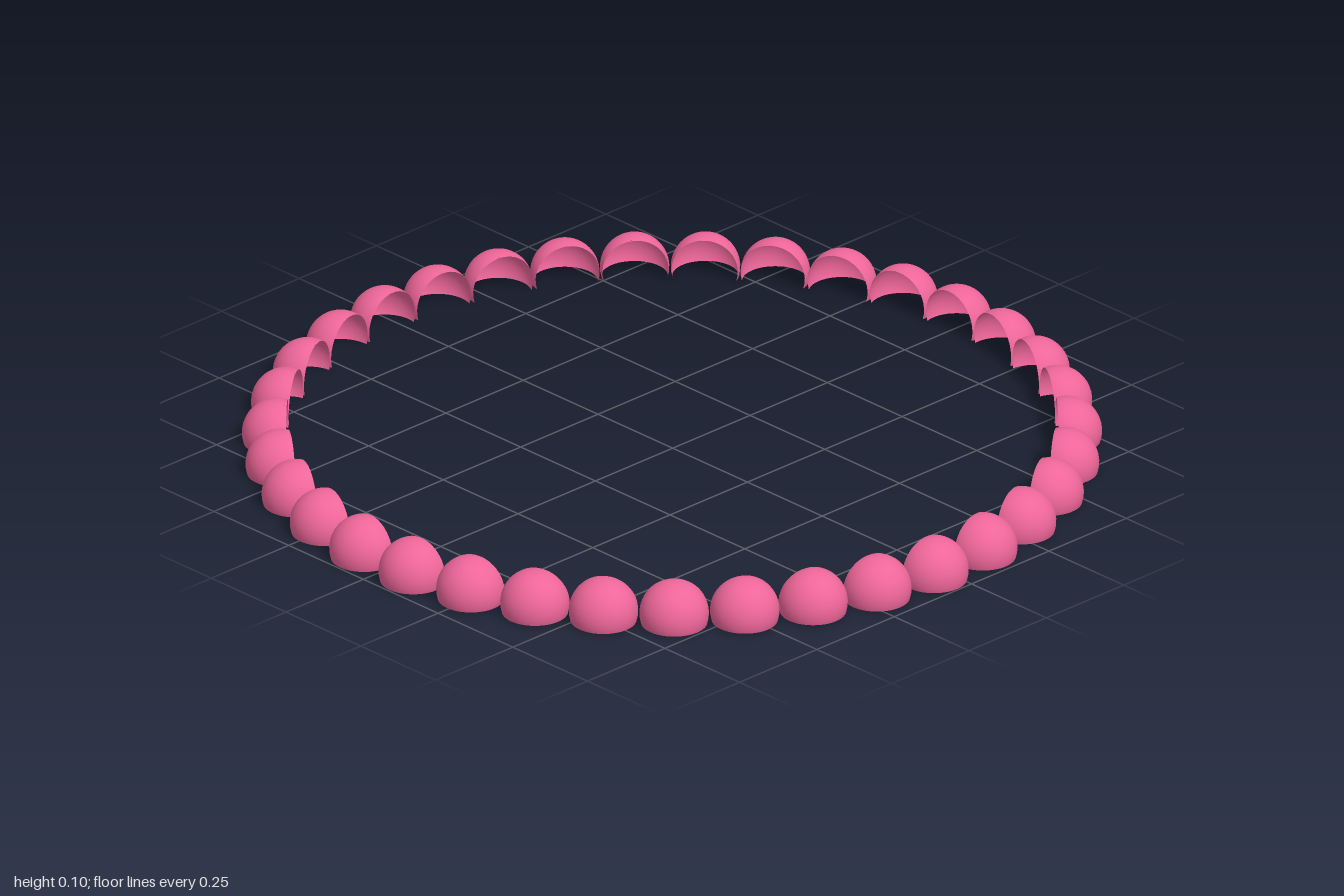
import * as THREE from 'three';

const COUNT = 35;    // beads around the ring
const RING = 0.92;   // radius of the circle through the bead centres
const R = 0.081;     // bead radius
const CUT = 0.024;   // distance of the bottom and inner cuts from a bead's centre

// Open spherical shell, cut flat below (y = -CUT) and on its inner side (x = -CUT)
function beadShell() {
  const cols = 28, low = 14, cap = 3;
  const bottom = Math.asin(-CUT / R), join = Math.acos(CUT / R);
  const g = new THREE.PlaneGeometry(1, 1, cols, low + cap);
  const pos = g.attributes.position, normal = g.attributes.normal;
  for (let i = 0; i < pos.count; i++) {
    const row = Math.round((pos.getY(i) + 0.5) * (low + cap));
    // rows crowd towards the latitude where the inner cut ends; a full cap closes the top
    const t = 1 - row / low;
    const lat = row <= low
      ? join - (join - bottom) * t * (0.3 + 0.7 * t)
      : join + (Math.PI / 2 - join) * (row - low) / cap;
    const rho = R * Math.cos(lat);
    const half = row >= low ? Math.PI : Math.acos(Math.max(-1, -CUT / rho));
    const a = pos.getX(i) * 2 * half;
    const v = new THREE.Vector3(rho * Math.cos(a), R * Math.sin(lat), -rho * Math.sin(a));
    pos.setXYZ(i, v.x, v.y, v.z);
    v.normalize();
    normal.setXYZ(i, v.x, v.y, v.z);
  }
  return g;
}

export function createModel() {
  const model = new THREE.Group();
  model.name = 'beadRing';
  const material = new THREE.MeshStandardMaterial({ color: 0xee6699, side: THREE.DoubleSide });
  const shell = beadShell();

  // Beads evenly spaced, each turned to face outwards
  for (let i = 0; i < COUNT; i++) {
    const a = (i / COUNT) * Math.PI * 2;
    const bead = new THREE.Mesh(shell, material);
    bead.name = `bead${i + 1}`;
    // the odd count makes the ring slightly longer on +x, so shift it to centre
    bead.position.set(RING * Math.cos(a) - 0.002, CUT, -RING * Math.sin(a));
    bead.rotation.y = a;
    model.add(bead);
  }
  return model;
}
